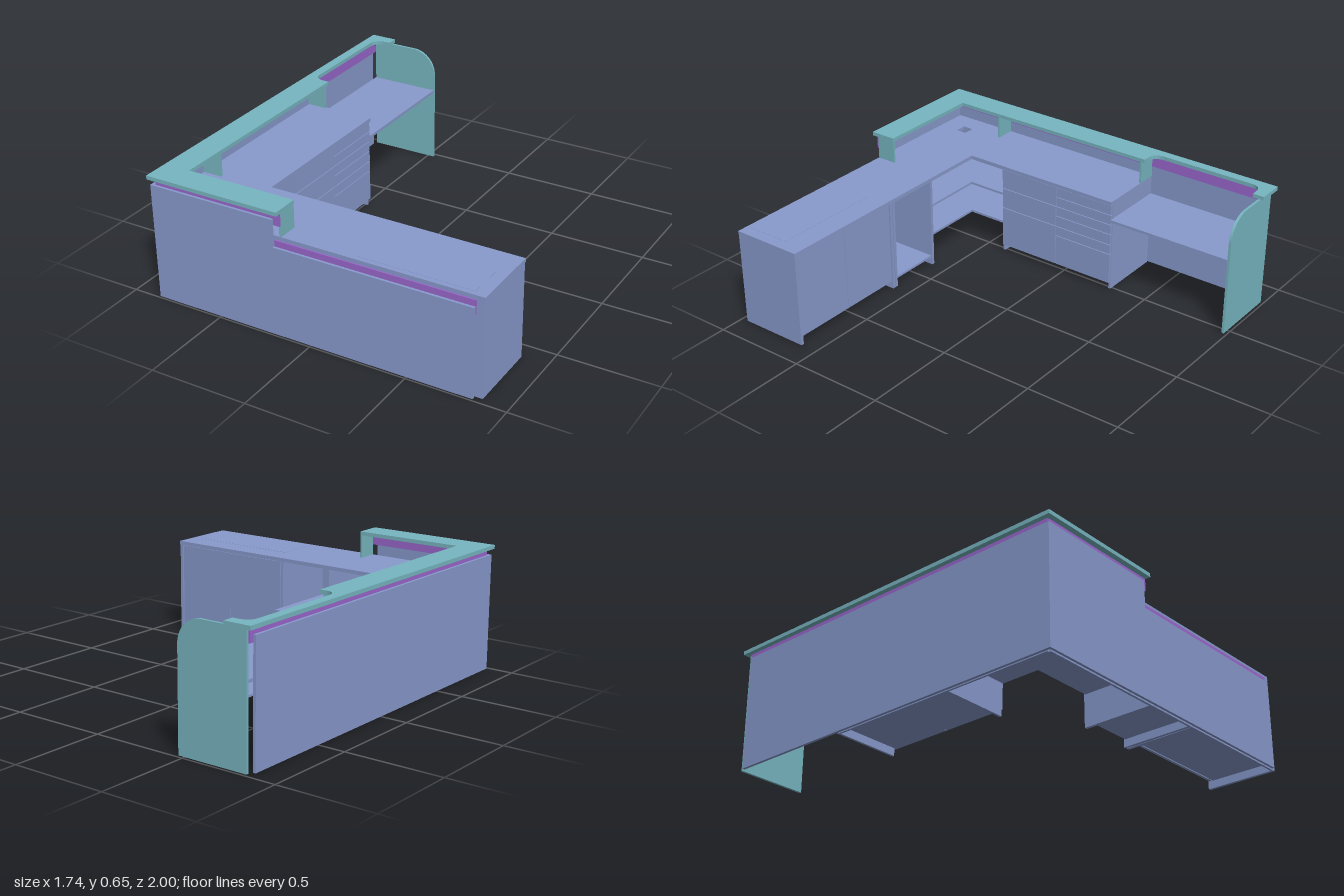
import * as THREE from 'three';

const blue = new THREE.MeshStandardMaterial({ color: 0x8899cc });
const teal = new THREE.MeshStandardMaterial({ color: 0x77b5c0 });
const purple = new THREE.MeshStandardMaterial({ color: 0x9966cc });

export function createModel() {
  const model = new THREE.Group();

  const add = (name, geometry, material, parent = model) => {
    const mesh = new THREE.Mesh(geometry, material);
    mesh.name = name;
    parent.add(mesh);
    return mesh;
  };
  // Box given by its limits on each axis
  const box = (name, [x0, x1], [y0, y1], [z0, z1], material = blue, parent = model) => {
    const g = new THREE.BoxGeometry(x1 - x0, y1 - y0, z1 - z0);
    g.translate((x0 + x1) / 2, (y0 + y1) / 2, (z0 + z1) / 2);
    return add(name, g, material, parent);
  };
  // Horizontal board from a plan drawn in x and -z
  const board = (name, shape, y0, y1, material = blue) => {
    const g = new THREE.ExtrudeGeometry(shape, { depth: y1 - y0, bevelEnabled: false, curveSegments: 10 });
    g.rotateX(-Math.PI / 2);
    g.translate(0, y0, 0);
    return add(name, g, material);
  };
  const plan = (points) => new THREE.Shape(points.map(([x, z]) => new THREE.Vector2(x, -z)));
  const group = (name) => {
    const g = new THREE.Group();
    g.name = name;
    model.add(g);
    return g;
  };
  const cableHole = () => plan([[-0.73, 0.795], [-0.67, 0.795], [-0.67, 0.855], [-0.73, 0.855]]);

  // Raised L-shaped counter with a rounded recess above the low desk
  const counter = new THREE.Shape();
  const r = 0.06;
  counter.moveTo(-0.87, -1);
  counter.lineTo(-0.15, -1);
  counter.lineTo(-0.15, -0.86);
  counter.lineTo(-0.73, -0.86);
  counter.lineTo(-0.73, 0.32);
  counter.lineTo(-0.82 + r, 0.32);
  counter.quadraticCurveTo(-0.82, 0.32, -0.82, 0.32 + r);
  counter.lineTo(-0.82, 0.94 - r);
  counter.quadraticCurveTo(-0.82, 0.94, -0.82 + r, 0.94);
  counter.lineTo(-0.73, 0.94);
  counter.lineTo(-0.73, 1);
  counter.lineTo(-0.87, 1);
  board('raisedCounter', counter, 0.63, 0.65, teal);

  // Counter supports
  for (const z of [-0.3, 0.61]) box('counterSupport', [-0.84, -0.735], [0.51, 0.63], [z, z + 0.01], teal);
  box('counterEndSupport', [-0.162, -0.152], [0.51, 0.63], [0.86, 0.965], teal);

  // Light strips behind the outer panels
  box('sideLightStrip', [-0.845, -0.838], [0.565, 0.63], [-0.97, 0.97], purple);
  box('upperFrontLightStrip', [-0.838, -0.152], [0.565, 0.63], [0.965, 0.972], purple);
  box('lowerFrontLightStrip', [-0.185, 0.83], [0.42, 0.49], [0.967, 0.974], purple);

  // Outer cladding, stepped at the front
  const front = new THREE.Shape([
    [-0.86, 0], [0.83, 0], [0.83, 0.46], [-0.185, 0.46], [-0.185, 0.6], [-0.86, 0.6],
  ].map(([x, y]) => new THREE.Vector2(x, y)));
  const frontGeometry = new THREE.ExtrudeGeometry(front, { depth: 0.013, bevelEnabled: false });
  frontGeometry.translate(0, 0, 0.976);
  add('frontPanel', frontGeometry, blue);
  box('sidePanel', [-0.86, -0.846], [0, 0.6], [-0.95, 0.976]);

  // L-shaped worktop
  const top = plan([[-0.838, 0.966], [0.87, 0.966], [0.87, 0.59], [-0.465, 0.59], [-0.465, -0.3], [-0.838, -0.3]]);
  top.holes.push(cableHole());
  board('worktop', top, 0.49, 0.51);
  box('worktopInlay', [0.23, 0.81], [0.505, 0.511], [0.71, 0.94]);

  // Corner shelves beneath the worktop
  for (const y of [0.167, 0.335]) {
    const shelf = plan([[-0.838, 0.955], [-0.14, 0.955], [-0.14, 0.6], [-0.475, 0.6], [-0.475, 0.39], [-0.838, 0.39]]);
    shelf.holes.push(cableHole());
    board('cornerShelf', shelf, y, y + 0.012);
  }

  // Side drawer unit: carcass and two columns of drawers
  const drawers = group('drawerUnit');
  for (const z of [-0.3, 0.035, 0.38]) {
    box('drawerUnitWall', [-0.838, -0.485], [z === 0.035 ? 0.04 : 0, 0.49], [z, z + 0.012], blue, drawers);
  }
  box('drawerUnitBase', [-0.838, -0.485], [0.04, 0.052], [-0.288, 0.38], blue, drawers);
  box('drawerUnitBack', [-0.838, -0.828], [0, 0.49], [-0.288, 0.955], blue, drawers);
  const columns = [
    { z: [0.042, 0.386], levels: [0.04, 0.265, 0.38, 0.49] },
    { z: [-0.297, 0.038], levels: [0.04, 0.21, 0.265, 0.325, 0.38, 0.435, 0.49] },
  ];
  for (const { z, levels } of columns) {
    for (let i = 0; i < levels.length - 1; i++) {
      box('drawerFront', [-0.485, -0.47], [levels[i], levels[i + 1] - 0.004], z, blue, drawers);
    }
  }

  // Front cabinet: two doors and an open bay
  const cabinet = group('frontCabinet');
  for (const x of [-0.14, 0.155, 0.175, 0.852]) {
    box('cabinetWall', [x, x + 0.016], [0, 0.49], [0.593, 0.955], blue, cabinet);
  }
  box('cabinetBack', [-0.828, 0.868], [0, 0.49], [0.955, 0.966], blue, cabinet);
  box('bayBase', [-0.124, 0.155], [0.04, 0.052], [0.6, 0.955], blue, cabinet);
  box('cupboardBase', [0.191, 0.852], [0.04, 0.052], [0.62, 0.955], blue, cabinet);
  for (const x of [0.193, 0.523]) {
    box('cabinetDoor', [x, x + 0.327], [0.04, 0.486], [0.6, 0.615], blue, cabinet);
  }

  // Low desk with a cable tray below
  box('lowDesk', [-0.838, -0.465], [0.395, 0.41], [-0.97, -0.3]);
  box('cableTray', [-0.838, -0.71], [0.333, 0.343], [-0.97, -0.3]);

  // End panel with a rounded upper corner
  const end = new THREE.Shape();
  end.moveTo(-0.838, 0);
  end.lineTo(-0.465, 0);
  end.lineTo(-0.465, 0.5);
  end.absarc(-0.595, 0.5, 0.13, 0, Math.PI / 2, false);
  end.lineTo(-0.838, 0.63);
  const endGeometry = new THREE.ExtrudeGeometry(end, { depth: 0.013, bevelEnabled: false, curveSegments: 14 });
  endGeometry.translate(0, 0, -0.984);
  add('endPanel', endGeometry, teal);

  return model;
}
